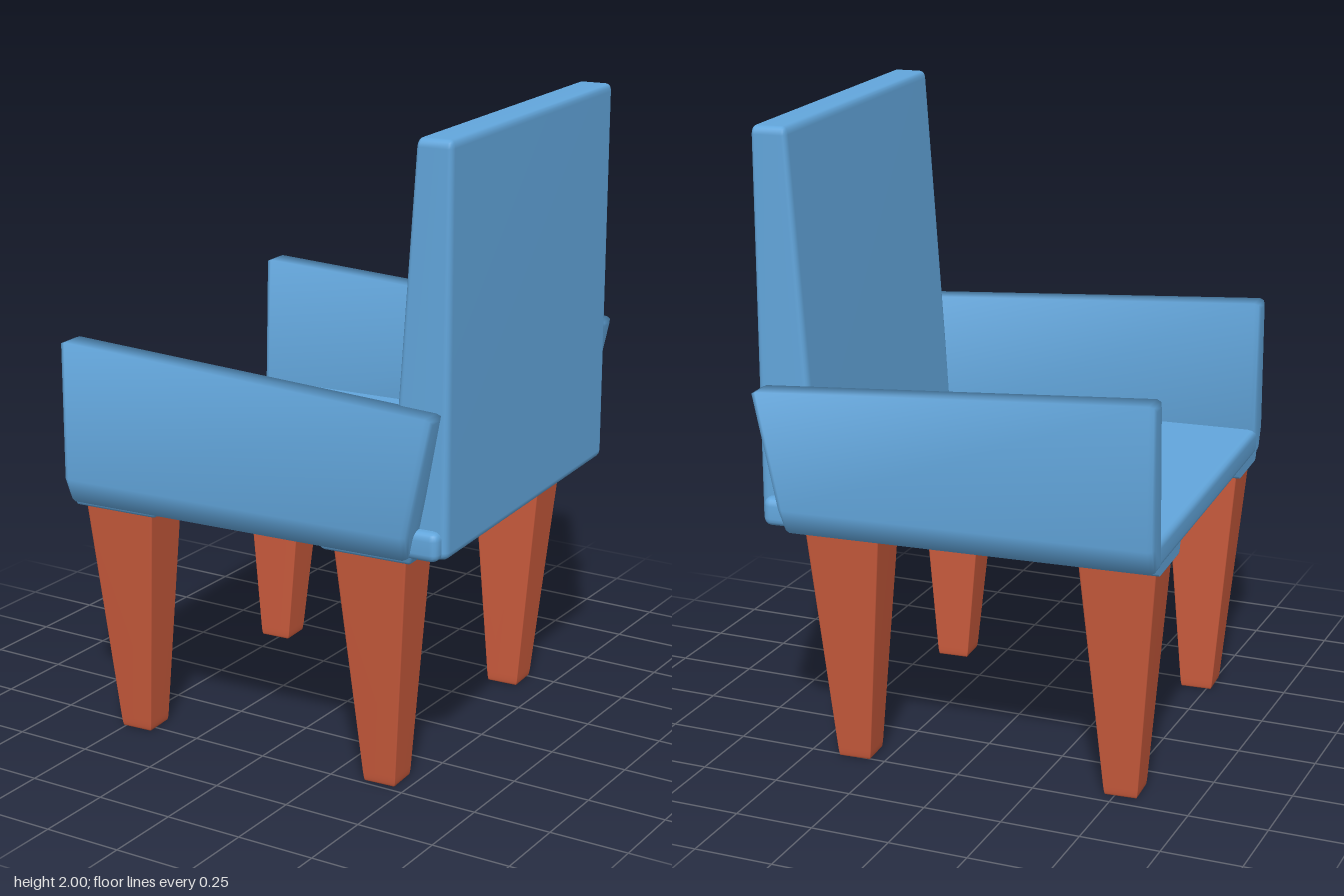
import * as THREE from 'three';
import { mergeVertices } from 'three/addons/utils/BufferGeometryUtils.js';
import { RoundedBoxGeometry } from 'three/addons/geometries/RoundedBoxGeometry.js';

const lerp = THREE.MathUtils.lerp;
const fabric = new THREE.MeshStandardMaterial({ color: 0x62a6dc });
const wood = new THREE.MeshStandardMaterial({ color: 0xc85a3c });

// Moves every vertex by a rule, then welds and smooths the surface
function shape(geometry, rule) {
  const p = geometry.attributes.position;
  const v = new THREE.Vector3();
  for (let i = 0; i < p.count; i++) {
    rule(v.fromBufferAttribute(p, i));
    p.setXYZ(i, v.x, v.y, v.z);
  }
  geometry.deleteAttribute('normal');
  geometry.deleteAttribute('uv');
  const smooth = mergeVertices(geometry, 1e-4);
  smooth.computeVertexNormals();
  return smooth;
}

// Soft-edged block given by its minimum and maximum corners
function block(min, max, radius) {
  const size = max.map((m, i) => m - min[i]);
  const g = new RoundedBoxGeometry(...size, 2, radius);
  return g.translate(...max.map((m, i) => (m + min[i]) / 2));
}

// Armrest: cross-section with a slanted lower edge, swept front to back
function armGeometry(side) {
  const section = [[0.56, 0.78], [0.63, 0.78], [0.665, 0.86], [0.665, 1.295], [0.58, 1.295]];
  const outline = new THREE.Shape(section.map(([z, y]) => new THREE.Vector2(-side * z, y)));
  const bevel = 0.02, length = 1.25;
  const g = new THREE.ExtrudeGeometry(outline, {
    depth: length - 2 * bevel, bevelSize: bevel, bevelThickness: bevel,
    bevelOffset: -bevel, bevelSegments: 2,
  });
  g.rotateY(Math.PI / 2).translate(-0.63 + bevel, 0, 0);
  return shape(g, (v) => {
    const t = (v.x + 0.63) / length;
    // the top slopes down to the rear, the rear end leans backwards
    if (v.y > 0.86) v.y = 0.86 + (v.y - 0.86) * lerp(1, 0.83, t);
    const rear = lerp(0.535, 0.62, THREE.MathUtils.clamp((v.y - 0.82) / 0.4, 0, 1));
    v.x = lerp(-0.63, rear, t);
  });
}

// Leg tapering downwards, leaning slightly inwards
function legGeometry(x, side) {
  return shape(block([-0.5, 0, -0.5], [0.5, 0.78, 0.5], 0.03), (v) => {
    const t = v.y / 0.78;
    // keep the corner bevel of the unit section visible after scaling
    const soften = (a, b) => a * (Math.abs(a) > 0.45 && Math.abs(b) > 0.45 ? 0.88 : 1);
    const sx = soften(v.x, v.z), sz = soften(v.z, v.x);
    v.x = x + sx * lerp(0.12, 0.275, t);
    v.z = 0.01 + side * lerp(0.443, 0.478, t) + sz * lerp(0.12, 0.2, t);
  });
}

export function createModel() {
  const chair = new THREE.Group();
  chair.name = 'armchair';
  const add = (name, geometry, material) => {
    const mesh = new THREE.Mesh(geometry, material);
    mesh.name = name;
    chair.add(mesh);
  };
  const keep = () => {};

  // Seat slab
  add('seat', shape(block([-0.63, 0.78, -0.6], [0.62, 0.87, 0.62], 0.025), keep), fabric);

  // Backrest, thicker towards the seat
  const back = shape(block([0, 0.78, -0.565], [0.2, 2, 0.588], 0.025), (v) => {
    const inner = lerp(0.44, 0.527, (v.y - 0.78) / 1.22);
    v.x = lerp(inner, 0.637, v.x / 0.2);
  });
  add('backrest', back, fabric);

  for (const side of [1, -1]) {
    add(side > 0 ? 'leftwardArmrest' : 'rightwardArmrest', armGeometry(side), fabric);

    for (const x of [-0.49, 0.38]) {
      const end = x < 0 ? 'front' : 'rear';
      add(end + 'Leg', legGeometry(x, side), wood);
      // Flared collar where the leg meets the seat
      const z = 0.01 + side * 0.478;
      const collar = shape(block([-0.165, 0.757, -0.125], [0.165, 0.8, 0.125], 0.01), (v) => {
        const k = lerp(0.88, 1.02, (v.y - 0.757) / 0.043);
        v.x = THREE.MathUtils.clamp(x + v.x * k, -0.625, 0.62);
        v.z = z + v.z * k;
      });
      add(end + 'LegCollar', collar, fabric);
    }
  }

  // The whole chair is turned a little
  chair.rotation.y = 0.062;
  const model = new THREE.Group();
  model.name = 'armchairModel';
  model.add(chair);
  return model;
}
